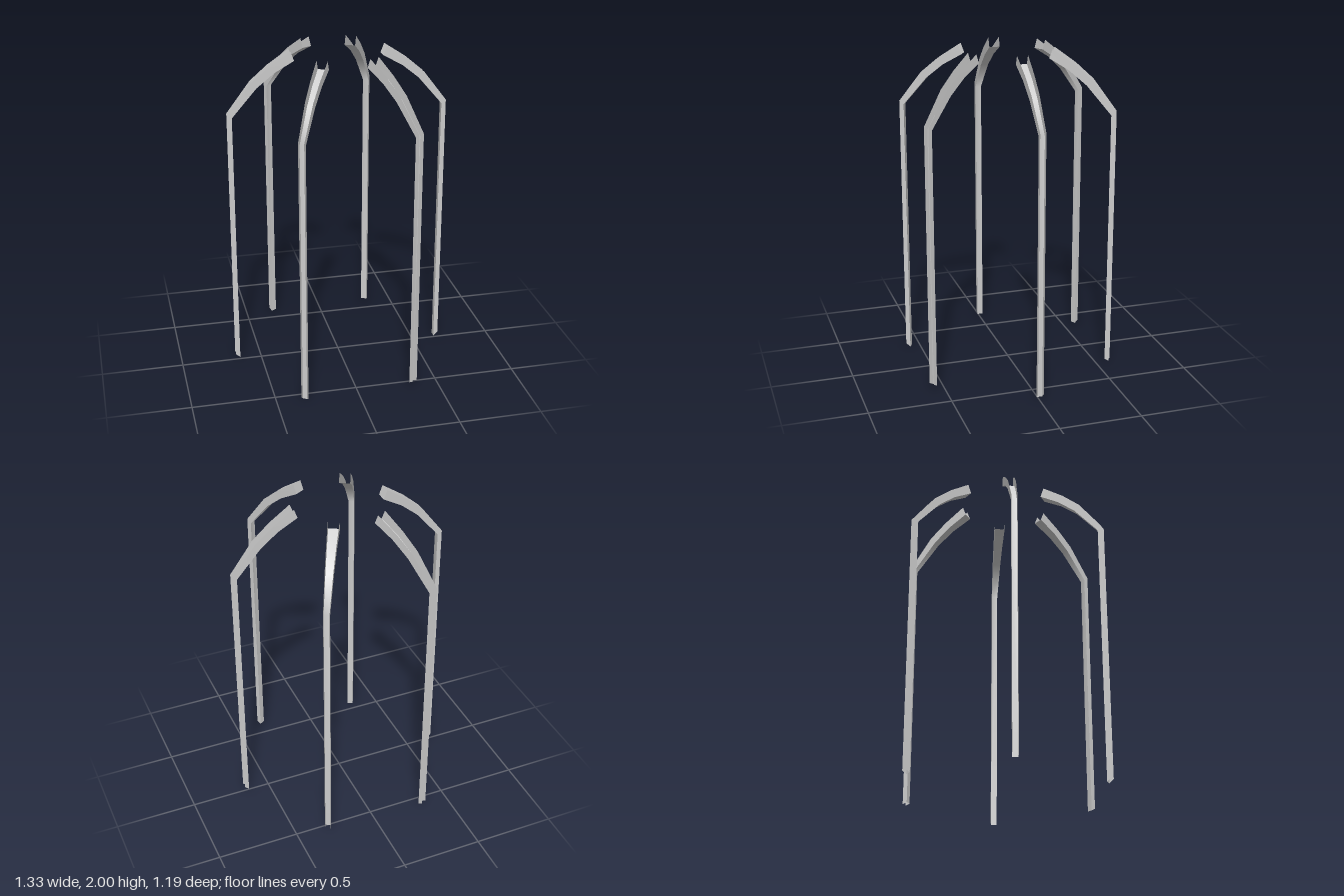
import * as THREE from 'three';

const material = new THREE.MeshStandardMaterial({ color: 0xcccccc, side: THREE.DoubleSide });

// Cross-sections up a rib: web radius, web height, flange-edge radius, flange-edge height, half width.
const arch = [
  [0.637, 1.617, 0.664, 1.638, 0.018],
  [0.489, 1.79, 0.521, 1.825, 0.024],
  [0.384, 1.876, 0.415, 1.915, 0.028],
  [0.266, 1.944, 0.287, 2.0, 0.033],
];

// Strip of quads between two rows of points.
function strip(a, b) {
  const positions = [], index = [];
  a.forEach((p, i) => {
    positions.push(...p, ...b[i]);
    if (i) {
      const k = 2 * i;
      index.push(k - 2, k - 1, k, k - 1, k + 1, k);
    }
  });
  const geometry = new THREE.BufferGeometry();
  geometry.setAttribute('position', new THREE.Float32BufferAttribute(positions, 3));
  geometry.setIndex(index);
  geometry.computeVertexNormals();
  return geometry;
}

// Open channel: web on the inner side, two flanges pointing outward.
function makeRib(webFoot, flangeFoot) {
  const rows = [[0.637, webFoot, 0.664, flangeFoot, 0.018], ...arch];
  const web = (s) => rows.map(([r, y, , , w]) => [r, y, s * w]);
  const edge = (s) => rows.map(([, , r, y, w]) => [r, y, s * w]);
  const parts = {
    web: strip(web(1), web(-1)),
    leftFlange: strip(web(-1), edge(-1)),
    rightFlange: strip(edge(1), web(1)),
  };
  const rib = new THREE.Group();
  for (const [name, geometry] of Object.entries(parts)) {
    const mesh = new THREE.Mesh(geometry, material);
    mesh.name = name;
    rib.add(mesh);
  }
  return rib;
}

export function createModel() {
  const model = new THREE.Group();
  model.name = 'ribFrame';
  // Each rib: angle, radial shift, web foot height, flange foot height.
  const ribs = [
    [0, 0, 0.02, 0.045],
    [60.7, -0.011, 0.045, 0.035],
    [119.6, 0.009, 0.02, 0.035],
    [180, 0, 0.022, 0.045],
    [239.8, 0.007, 0, 0.022],
    [300.7, 0.014, 0.035, 0.05],
  ];
  ribs.forEach(([degrees, shift, webFoot, flangeFoot], i) => {
    const angle = THREE.MathUtils.degToRad(degrees);
    const rib = makeRib(webFoot, flangeFoot);
    rib.name = `rib${i + 1}`;
    rib.rotation.y = angle;
    rib.position.set(shift * Math.cos(angle), 0, -shift * Math.sin(angle));
    model.add(rib);
  });
  return model;
}
